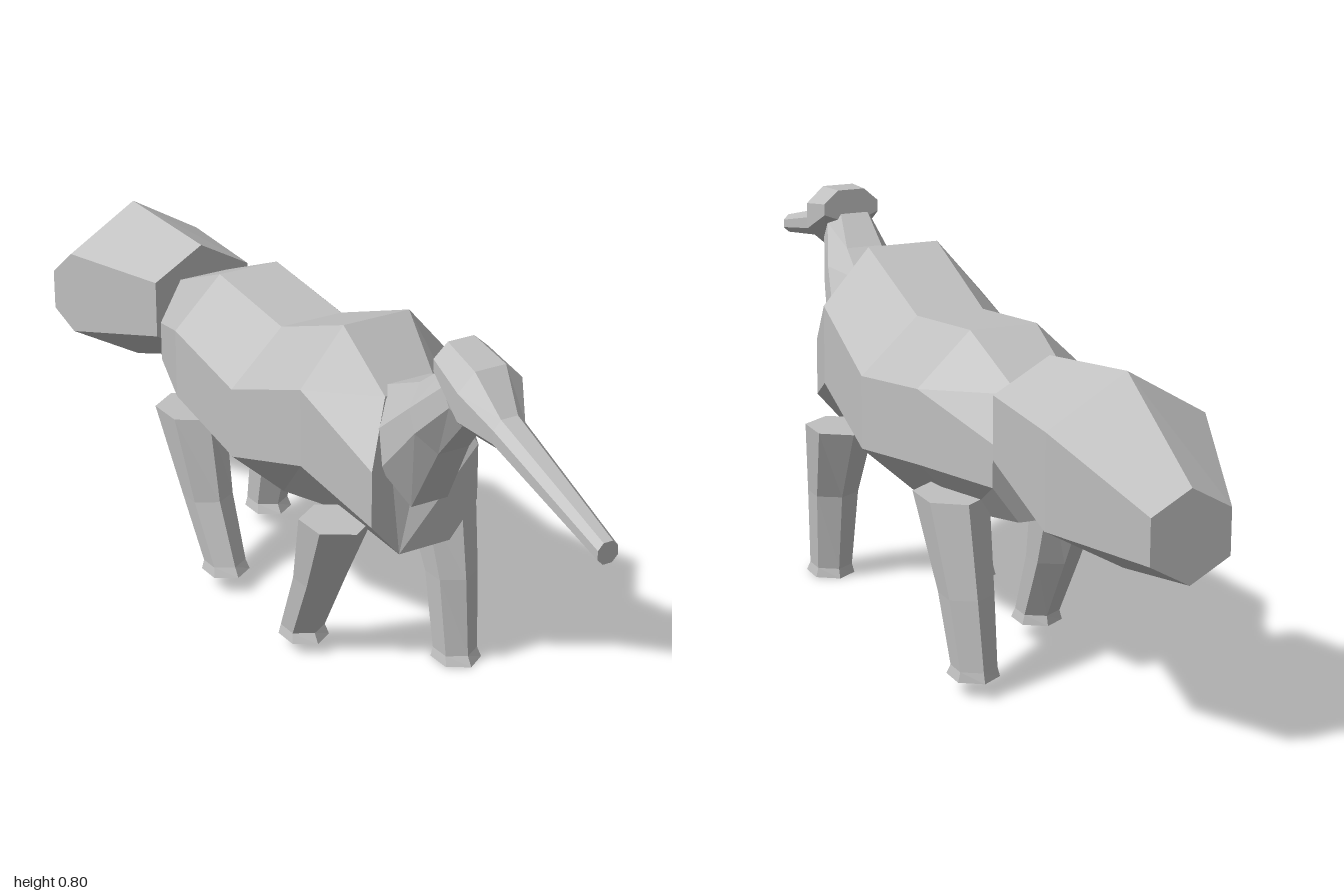
import * as THREE from 'three';

// Skin a list of equal-sized rings and cap both ends; unshared corners keep facets flat.
// Rings run front-to-back (or top-to-bottom), counter-clockwise seen from the start.
function loft(rings) {
  const n = rings[0].length, pos = [];
  const tri = (a, b, c) => pos.push(...a, ...b, ...c);
  for (let i = 0; i < rings.length - 1; i++) {
    const a = rings[i], b = rings[i + 1];
    for (let j = 0; j < n; j++) {
      const k = (j + 1) % n;
      tri(a[j], b[j], b[k]);
      tri(a[j], b[k], a[k]);
    }
  }
  const first = rings[0], last = rings[rings.length - 1];
  for (let j = 1; j < n - 1; j++) {
    tri(first[0], first[j], first[j + 1]);
    tri(last[0], last[j + 1], last[j]);
  }
  const g = new THREE.BufferGeometry();
  g.setAttribute('position', new THREE.Float32BufferAttribute(pos, 3));
  g.computeVertexNormals();
  return g;
}

// Eight-sided ring: four heights, half widths at bottom, sides and top, optional lean in z
function oct(cx, zBottom, [y0, y1, y2, y3], [wb, w, wt], zTop = zBottom) {
  const z = y => zBottom + (zTop - zBottom) * (y - y0) / (y3 - y0);
  return [[-wb, y0], [wb, y0], [w, y1], [w, y2], [wt, y3], [-wt, y3], [-w, y2], [-w, y1]]
    .map(([x, y]) => [cx + x, y, z(y)]);
}

// Six-sided ring with a ridge above and a keel below
function ridge(cx, z, [y0, y1, y2, y3], w) {
  return [[0, y0], [w, y1], [w, y2], [0, y3], [-w, y2], [-w, y1]].map(([x, y]) => [cx + x, y, z]);
}

// Level six-sided ring for the legs
function hex(cx, y, zBack, zFront, w) {
  const c = (zBack + zFront) / 2, r = (zFront - zBack) / 2;
  return Array.from({ length: 6 }, (_, i) => {
    const t = i * Math.PI / 3;
    return [cx + w * Math.sin(t) / Math.sin(Math.PI / 3), y, c + r * Math.cos(t)];
  });
}

export function createModel() {
  const model = new THREE.Group();
  const grey = new THREE.MeshStandardMaterial({ color: 0xc0c0c0 });
  const add = (name, rings) => {
    const mesh = new THREE.Mesh(loft(rings), grey);
    mesh.name = name;
    model.add(mesh);
  };

  // Body: chest, shoulders, waist, hips, rump
  const chest = oct(0, 0.325, [0.31, 0.385, 0.505, 0.63], [0.06, 0.125, 0.06]);
  chest[4][2] = chest[5][2] = 0.27;
  add('body', [
    chest,
    oct(0, 0.145, [0.33, 0.46, 0.625, 0.74], [0.07, 0.177, 0.077]),
    oct(0, -0.1, [0.277, 0.387, 0.538, 0.65], [0.07, 0.192, 0.072]),
    oct(0, -0.355, [0.315, 0.425, 0.575, 0.68], [0.07, 0.18, 0.07]),
    oct(0, -0.55, [0.35, 0.425, 0.51, 0.6], [0.055, 0.11, 0.058]),
  ]);

  // Neck
  add('neck', [
    oct(-0.01, 0.51, [0.66, 0.69, 0.725, 0.755], [0.028, 0.052, 0.03], 0.45),
    oct(0, 0.42, [0.56, 0.605, 0.65, 0.69], [0.036, 0.077, 0.04], 0.36),
    oct(0.007, 0.33, [0.41, 0.495, 0.565, 0.645], [0.043, 0.098, 0.05], 0.25),
  ]);

  // Head and long snout, turned slightly to one side
  const muzzle = oct(-0.03, 0.64, [0.657, 0.675, 0.702, 0.72], [0.017, 0.036, 0.019]);
  add('head', [
    muzzle,
    oct(-0.018, 0.56, [0.655, 0.695, 0.752, 0.787], [0.028, 0.073, 0.035]),
    oct(-0.002, 0.44, [0.735, 0.748, 0.772, 0.8], [0.028, 0.062, 0.03]),
  ]);
  add('snout', [
    oct(-0.073, 1, [0.59, 0.602, 0.62, 0.632], [0.01, 0.022, 0.01]),
    muzzle,
  ]);

  // Bushy tail
  add('tail', [
    ridge(-0.005, -0.55, [0.41, 0.48, 0.605, 0.67], 0.115),
    ridge(-0.035, -0.805, [0.33, 0.42, 0.605, 0.7], 0.16),
    ridge(-0.065, -1, [0.355, 0.4, 0.49, 0.535], 0.08),
  ]);

  // Legs: side, top height, sole height, then back and front z at top, knee and ankle
  const legs = [
    ['frontLeftLeg', 1, 0.35, 0, [0.11, 0.27], [0.19, 0.297], [0.217, 0.312]],
    ['frontRightLeg', -1, 0.35, 0.028, [0.115, 0.275], [0.075, 0.18], [0.01, 0.105]],
    ['rearLeftLeg', 1, 0.373, 0.033, [-0.48, -0.31], [-0.515, -0.405], [-0.54, -0.447]],
    ['rearRightLeg', -1, 0.373, 0.037, [-0.48, -0.31], [-0.385, -0.28], [-0.312, -0.222]],
  ];
  for (const [name, s, top, sole, hip, knee, ankle] of legs) {
    add(name, [
      hex(s * 0.127, top, ...hip, 0.062),
      hex(s * 0.123, 0.19, ...knee, 0.047),
      hex(s * 0.121, sole + 0.02, ...ankle, 0.039),
      hex(s * 0.121, sole, ankle[0] - 0.006, ankle[1] + 0.013, 0.044),
    ]);
  }
  return model;
}
